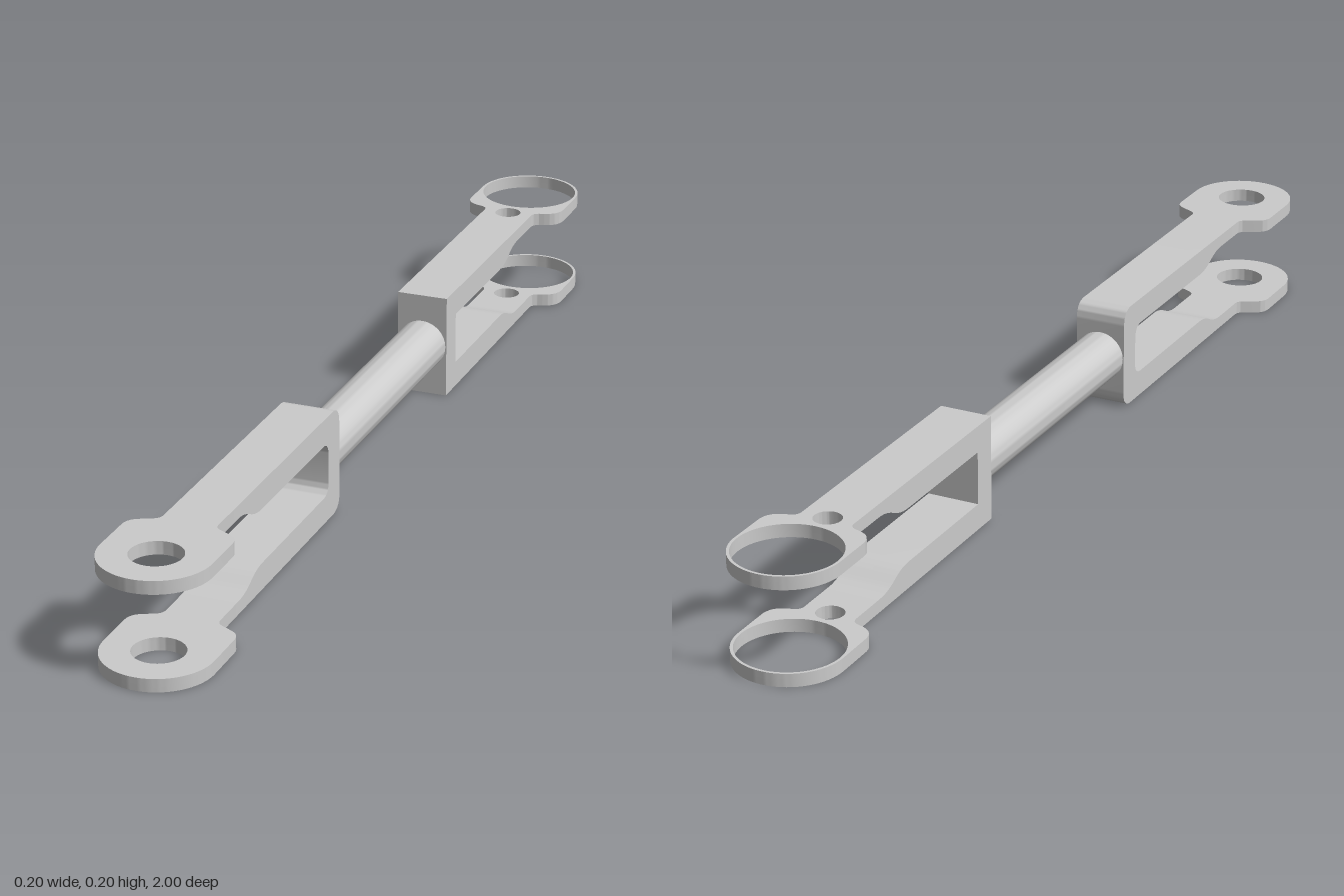
import * as THREE from 'three';
import { toCreasedNormals } from 'three/addons/utils/BufferGeometryUtils.js';

const H = 0.197;      // overall height of a fork
const W = 0.098;      // width of the fork arms
const PLATE = 0.024;  // thickness of the eye plates
const ARM = 0.049;    // thickness of the fork arms
const JOIN = 0.7;     // where arms meet eye plates
const EYE_Z = 0.9, EYE_R = 0.098;

const material = new THREE.MeshStandardMaterial({ color: 0xcccccc });

// closed shape from corners [x, y, cut]; a cut above 0 rounds that corner
function roundedShape(corners) {
  const shape = new THREE.Shape();
  const n = corners.length;
  const toward = (a, b, d) => {
    const len = Math.hypot(b[0] - a[0], b[1] - a[1]);
    return [a[0] + (b[0] - a[0]) * d / len, a[1] + (b[1] - a[1]) * d / len];
  };
  corners.forEach((c, i) => {
    const r = c[2] || 0;
    const start = r ? toward(c, corners[(i + n - 1) % n], r) : c;
    if (i === 0) shape.moveTo(start[0], start[1]);
    else shape.lineTo(start[0], start[1]);
    if (r) shape.quadraticCurveTo(c[0], c[1], ...toward(c, corners[(i + 1) % n], r));
  });
  shape.closePath();
  return shape;
}

function extrude(shape, depth) {
  return new THREE.ExtrudeGeometry(shape, { depth, bevelEnabled: false, curveSegments: 12 });
}

function addMesh(parent, name, geometry) {
  const mesh = new THREE.Mesh(toCreasedNormals(geometry, 0.5), material);
  mesh.name = name;
  parent.add(mesh);
  return mesh;
}

// U-shaped body in side profile, with arms that step down to plate thickness
function forkBody({ back, slot, outerRound, innerRound }) {
  const lower = [
    [back, 0, outerRound],
    [JOIN, 0, 0],
    [JOIN, PLATE, 0],
    [0.665, PLATE, 0.025],
    [0.615, ARM, 0.025],
    [slot, ARM, innerRound],
  ];
  const upper = lower.map(([z, y, r]) => [z, H - y, r]).reverse();
  return extrude(roundedShape([...lower, ...upper]), W).translate(0, 0, -W / 2).rotateY(-Math.PI / 2);
}

// flat eye plate: neck, shoulders, round end, pierced by circular holes
function eyePlate({ shoulder, holes }) {
  const right = [[W / 2, JOIN, 0], ...shoulder];
  const arc = [];
  for (let i = 0; i <= 48; i++) {
    const a = Math.PI * i / 48;
    arc.push([EYE_R * Math.cos(a), EYE_Z + EYE_R * Math.sin(a), 0]);
  }
  const left = right.map(([x, z, r]) => [-x, z, r]).reverse();
  const shape = roundedShape([...right, ...arc, ...left]);
  for (const [z, r] of holes) {
    shape.holes.push(new THREE.Path().absarc(0, z, r, 0, Math.PI * 2, true));
  }
  return new THREE.ExtrudeGeometry(shape, { depth: PLATE, bevelEnabled: false, curveSegments: 40 })
    .rotateX(Math.PI / 2);
}

function fork(name, options) {
  const group = new THREE.Group();
  group.name = name;
  addMesh(group, 'forkBody', forkBody(options));
  addMesh(group, 'lowerEye', eyePlate(options)).position.y = PLATE;
  addMesh(group, 'upperEye', eyePlate(options)).position.y = H;
  return group;
}

export function createModel() {
  const model = new THREE.Group();
  model.name = 'forkedLinkRod';

  // front fork: rounded heel, small pin holes
  model.add(fork('frontFork', {
    back: 0.247, slot: 0.297, outerRound: 0.032, innerRound: 0.025,
    shoulder: [[W / 2, 0.778, 0.012], [EYE_R, 0.802, 0.02]],
    holes: [[EYE_Z, 0.046]],
  }));

  // rear fork: square heel, thin rings and a small hole in the neck
  const rear = fork('rearFork', {
    back: 0.29, slot: 0.34, outerRound: 0, innerRound: 0,
    shoulder: [[W / 2, 0.784, 0.014], [EYE_R, 0.798, 0.03]],
    holes: [[EYE_Z, 0.093], [0.771, 0.025]],
  });
  rear.rotation.y = Math.PI;
  model.add(rear);

  // round rod between the two heels
  const rod = addMesh(model, 'rod', new THREE.CylinderGeometry(0.047, 0.047, 0.57, 48).rotateX(Math.PI / 2));
  rod.position.set(0, H / 2, -0.025);

  return model;
}
